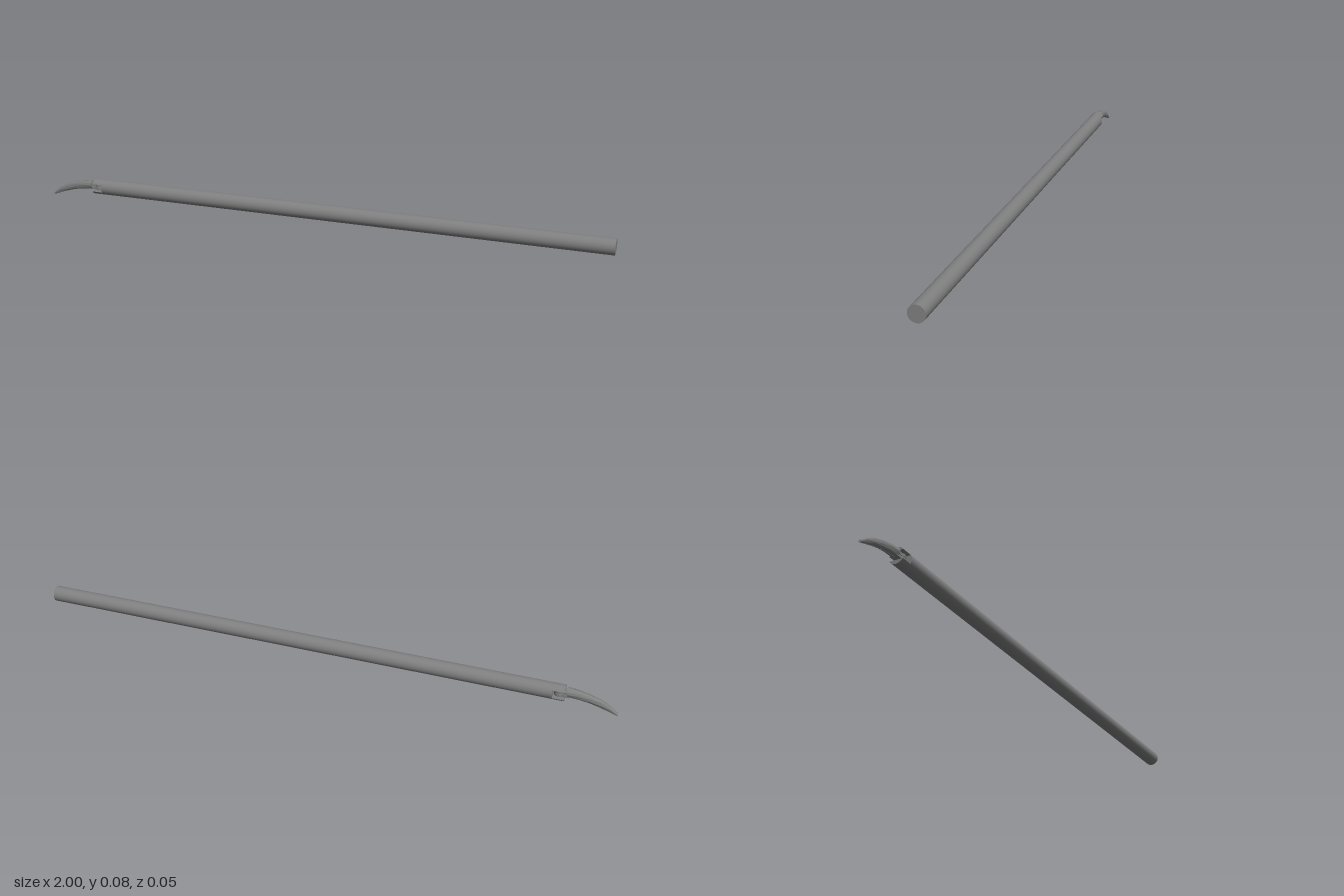
import * as THREE from 'three';
import { toCreasedNormals } from 'three/addons/utils/BufferGeometryUtils.js';

const R = 0.027, AXIS = 0.048, PIVOT = -0.811;

// Jaw stations: x, bottom y, top y, half width
const JAW = [
  [-1.0, 0.0, 0.008, 0.005],
  [-0.975, 0.009, 0.029, 0.007],
  [-0.945, 0.019, 0.045, 0.009],
  [-0.91, 0.029, 0.057, 0.011],
  [-0.875, 0.035, 0.064, 0.0135],
  [-0.837, 0.038, 0.069, 0.016],
];

// Half of the curved jaw: D-shaped sections lofted along x, flat side inwards
function jawGeometry(side) {
  const n = 11, pos = [], idx = [];
  for (const [x, lo, hi, w] of JAW) {
    for (let i = 0; i < n; i++) {
      const a = -Math.PI / 2 + (Math.PI * i) / (n - 1);
      const c = Math.pow(Math.max(0, Math.cos(a)), 0.7);
      pos.push(x, (lo + hi) / 2 + ((hi - lo) / 2) * Math.sin(a), 0.001 + side * (0.0006 + w * c));
    }
  }
  const tri = (a, b, c) => (side > 0 ? idx.push(a, b, c) : idx.push(a, c, b));
  for (let s = 0; s < JAW.length - 1; s++) {
    for (let i = 0; i < n; i++) {
      const a = s * n + i, b = s * n + ((i + 1) % n);
      tri(a, a + n, b);
      tri(b, a + n, b + n);
    }
  }
  const last = (JAW.length - 1) * n;
  for (let i = 1; i < n - 1; i++) {
    tri(0, i, i + 1);
    tri(last, last + i + 1, last + i);
  }
  const g = new THREE.BufferGeometry();
  g.setAttribute('position', new THREE.Float32BufferAttribute(pos, 3));
  g.setIndex(idx);
  return toCreasedNormals(g, 0.7);
}

export function createModel() {
  const model = new THREE.Group();
  const steel = new THREE.MeshStandardMaterial({ name: 'steel grey', color: 0x808080 });
  const add = (name, geometry, x = 0, y = 0, z = 0) => {
    const mesh = new THREE.Mesh(geometry, steel);
    mesh.name = name;
    mesh.position.set(x, y, z);
    model.add(mesh);
    return mesh;
  };

  // Long tubular shaft
  add('shaft', new THREE.CylinderGeometry(R, R, 1.792, 48).rotateZ(Math.PI / 2), 0.104, AXIS);

  // Clevis arms: slices of the shaft above and below the slot
  const a0 = Math.asin(0.0145 / R);
  const slice = new THREE.Shape();
  slice.absarc(0, 0, R, a0, Math.PI - a0, false);
  slice.closePath();
  for (const up of [1, -1]) {
    const g = new THREE.ExtrudeGeometry(slice, { depth: 0.04, bevelEnabled: false, curveSegments: 20 });
    g.rotateY(Math.PI / 2);
    if (up < 0) g.rotateX(Math.PI);
    add(up > 0 ? 'upperClevisArm' : 'lowerClevisArm', g, -0.83, AXIS);
  }

  // Hinge pin
  add('hingePin', new THREE.CylinderGeometry(0.007, 0.007, 0.046, 24), PIVOT, AXIS);

  // Two jaws, each with a flat round hinge tang in the slot
  for (const side of [1, -1]) {
    const label = side > 0 ? 'front' : 'rear';
    const y = AXIS + side * 0.005;
    add(label + 'Jaw', jawGeometry(side));
    add(label + 'HingeDisc', new THREE.CylinderGeometry(0.016, 0.016, 0.0085, 32), PIVOT, y);
    add(label + 'Tang', new THREE.BoxGeometry(0.034, 0.0085, 0.026), -0.828, y);
  }
  return model;
}
